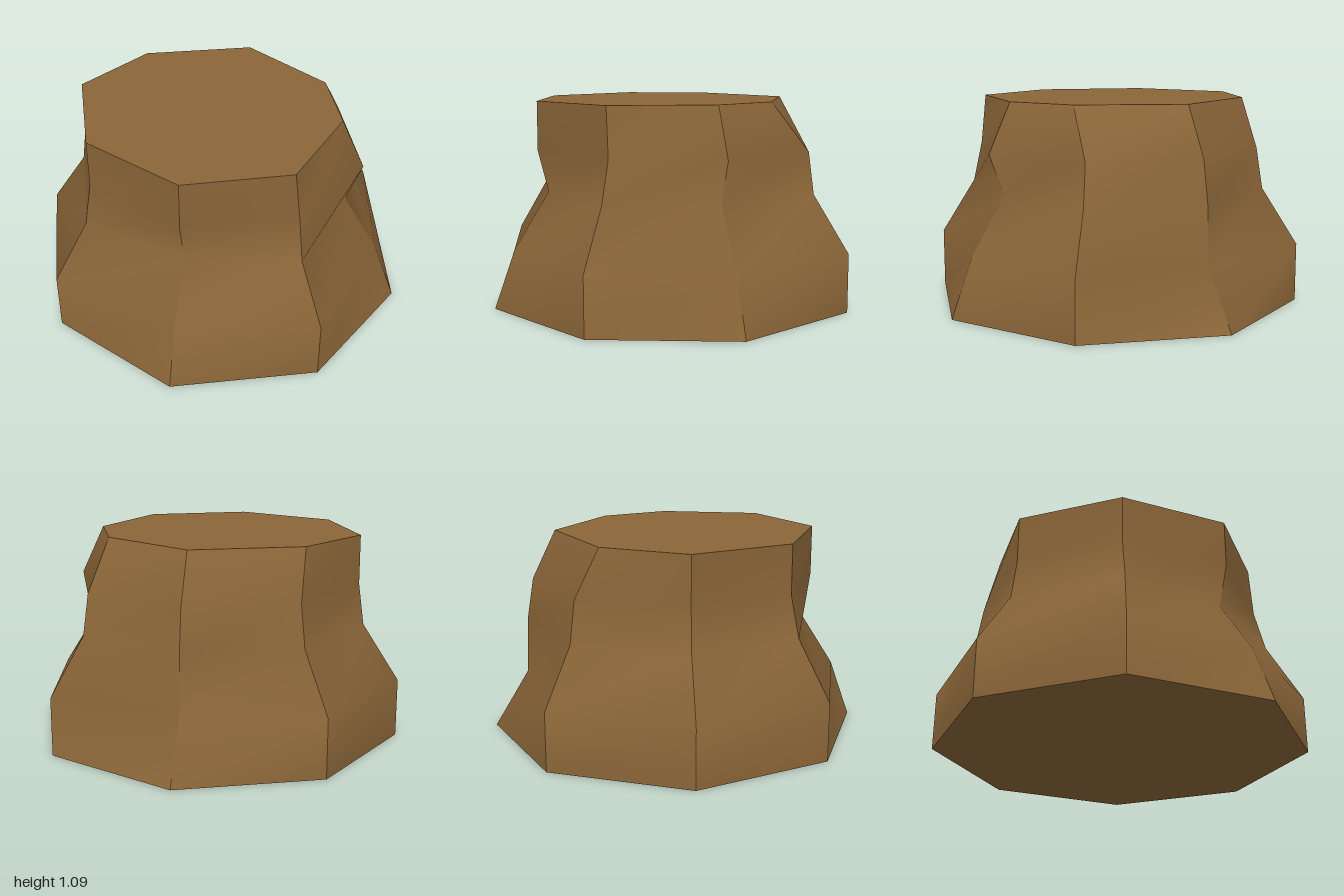
import * as THREE from 'three';

// Ring heights, from the foot to the flat top
const HEIGHTS = [0, 0.31, 0.61, 0.83, 1.09];

// Eight upright edges, one [x, z] per ring, going round from +x towards +z
const EDGES = [
  [[1, 0], [0.88, 0], [0.69, 0], [0.77, 0], [0.645, 0]],
  [[0.707, 0.707], [0.707, 0.707], [0.57, 0.575], [0.54, 0.53], [0.51, 0.53]],
  [[0, 1], [0, 0.89], [0, 0.7], [0, 0.755], [0, 0.755]],
  [[-0.707, 0.707], [-0.707, 0.707], [-0.57, 0.57], [-0.545, 0.53], [-0.545, 0.53]],
  [[-1, 0], [-1, 0], [-0.805, 0], [-0.775, 0], [-0.775, 0]],
  [[-0.707, -0.707], [-0.707, -0.707], [-0.57, -0.575], [-0.545, -0.55], [-0.545, -0.425]],
  [[0, -1], [0, -0.815], [0, -0.805], [0, -0.77], [0, -0.645]],
  [[0.707, -0.707], [0.707, -0.707], [0.57, -0.57], [0.545, -0.55], [0.49, -0.36]],
];

function makeGeometry(points, index) {
  const geometry = new THREE.BufferGeometry().setFromPoints(points);
  geometry.setIndex(index);
  geometry.computeVertexNormals();
  return geometry;
}

const corner = (edge, ring) =>
  new THREE.Vector3(EDGES[edge][ring][0], HEIGHTS[ring], EDGES[edge][ring][1]);

// One side: smooth up its height, sharp where it meets its neighbours
function sideGeometry(edge) {
  const next = (edge + 1) % EDGES.length;
  const points = [];
  const index = [];
  HEIGHTS.forEach((_, ring) => {
    points.push(corner(next, ring), corner(edge, ring));
    if (ring > 0) {
      const a = (ring - 1) * 2;
      index.push(a, a + 1, a + 3, a, a + 3, a + 2);
    }
  });
  return makeGeometry(points, index);
}

// Flat cap closing one ring
function capGeometry(ring, facesUp) {
  const points = EDGES.map((_, edge) => corner(edge, ring));
  const index = [];
  for (let i = 1; i < points.length - 1; i++) {
    index.push(0, facesUp ? i + 1 : i, facesUp ? i : i + 1);
  }
  return makeGeometry(points, index);
}

export function createModel() {
  const model = new THREE.Group();
  model.name = 'stump';
  const brown = new THREE.MeshStandardMaterial({ color: 0x8a6538 });
  brown.name = 'bark brown';

  const add = (name, geometry) => {
    const mesh = new THREE.Mesh(geometry, brown);
    mesh.name = name;
    model.add(mesh);
  };

  // Bark sides
  EDGES.forEach((_, edge) => add(`barkSide${edge + 1}`, sideGeometry(edge)));

  // Cut top and underside
  add('cutTop', capGeometry(HEIGHTS.length - 1, true));
  add('underside', capGeometry(0, false));

  return model;
}
